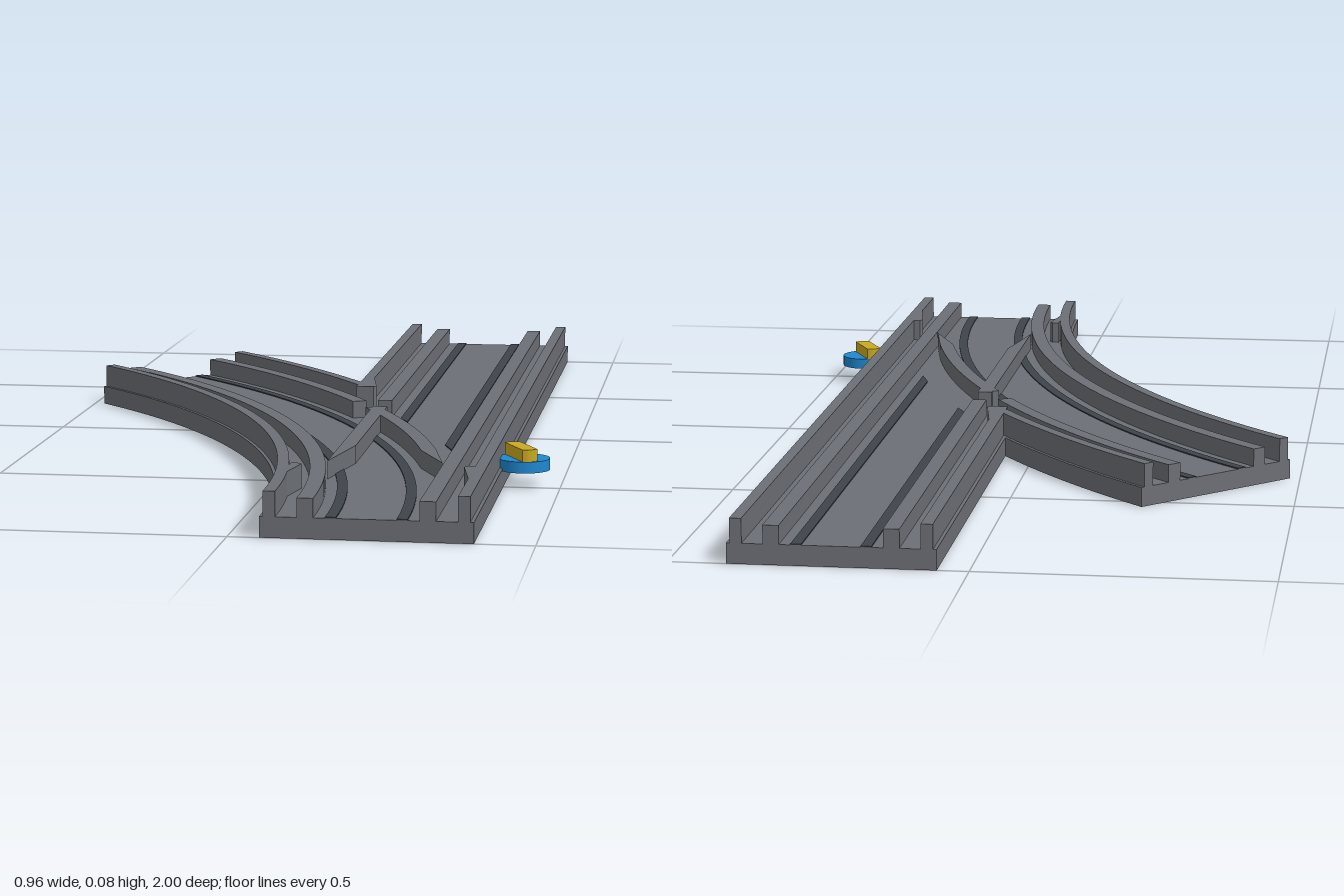
import * as THREE from 'three';

// Plan coordinates are (x, -z); the branch is an arc of radius 2 turning 45 degrees.
const CX = -1.773, CY = -1, MID = 0.227, R = 2, END = Math.PI / 4;
const FLOOR = 0.035, RAIL = 0.067, WALL = 0.077;
const deg = (d) => d * Math.PI / 180;
const onArc = (r, a) => new THREE.Vector2(CX + r * Math.cos(a), CY + r * Math.sin(a));

function arcPoints(r, a0, a1) {
  const n = Math.max(2, Math.round(Math.abs(a1 - a0) / END * 36));
  return Array.from({ length: n + 1 }, (_, i) => onArc(r, a0 + (a1 - a0) * i / n));
}

export function createModel() {
  const group = new THREE.Group();
  const grey = new THREE.MeshStandardMaterial({ color: 0x6c6f75 });
  const dark = new THREE.MeshStandardMaterial({ color: 0x3f444a });
  const blue = new THREE.MeshStandardMaterial({ color: 0x1e88d0 });
  const yellow = new THREE.MeshStandardMaterial({ color: 0xcaa820 });
  grey.name = 'track grey';
  dark.name = 'stripe dark grey';
  blue.name = 'knob blue';
  yellow.name = 'handle yellow';

  const add = (name, geometry, material) => {
    const mesh = new THREE.Mesh(geometry, material);
    mesh.name = name;
    group.add(mesh);
    return mesh;
  };

  // Raise a plan outline from y0 to y1
  const slab = (name, pts, y0, y1, material) => {
    const g = new THREE.ExtrudeGeometry(new THREE.Shape(pts), { depth: y1 - y0, bevelEnabled: false });
    g.rotateX(-Math.PI / 2);
    g.translate(0, y0, 0);
    return add(name, g, material);
  };
  const plan = (list) => list.map(([x, z]) => new THREE.Vector2(x, -z));

  // Straight strip between two x offsets from the track centre, z0 (back) to z1 (front)
  const straight = (name, o0, o1, z0, z1, top, material = grey) =>
    slab(name, plan([[MID + o0, z1], [MID + o1, z1], [MID + o1, z0], [MID + o0, z0]]), FLOOR, top, material);

  // Curved strip between two offsets from the branch centreline
  const curved = (name, o0, o1, a0, a1, top, material = grey) =>
    slab(name, [...arcPoints(R + o1, a0, a1), ...arcPoints(R + o0, a1, a0)], FLOOR, top, material);

  // Base plate: straight and branch as one outline
  const half = 0.174;
  const fork = Math.acos((MID - half - CX) / (R + half));
  slab('base', [
    ...plan([[MID + half, 1], [MID + half, -1], [MID - half, -1]]),
    ...arcPoints(R + half, fork, END),
    ...arcPoints(R - half, END, 0),
  ], 0, FLOOR, grey);

  // Outer walls
  straight('straightLeftWall', -0.168, -0.148, -1, -0.1, WALL);
  straight('straightRightWall', 0.148, 0.168, -1, 1, WALL);
  curved('branchInnerWall', -0.168, -0.148, 0, END, WALL);
  curved('branchOuterWall', 0.148, 0.168, deg(31.6), END, WALL);

  // Inner rails, with gaps where the wheel grooves cross
  straight('straightRightRail', 0.086, 0.113, -1, 1, RAIL);
  straight('straightLeftRail', -0.113, -0.086, -1, 0, RAIL);
  straight('straightLeftRail', -0.113, -0.086, 0.07, 0.5, RAIL);
  slab('straightLeftPoint', plan([[0.114, 0.5], [0.114, 0.66], [0.141, 0.5]]), FLOOR, RAIL, grey);
  curved('branchInnerRail', -0.113, -0.086, 0, END, RAIL);
  curved('branchOuterRail', 0.086, 0.113, deg(13), deg(26), RAIL);
  curved('branchOuterRail', 0.086, 0.113, deg(28), END, RAIL);
  slab('branchOuterPoint', [onArc(2.086, deg(13)), onArc(2.113, deg(9.5)), onArc(2.113, deg(13))],
    FLOOR, RAIL, grey);

  // Rounded guards that swell from the walls beside the points and the fork
  const guard = (name, x, z, side, along) => slab(name, plan([
    [x, z], [x - side * 0.014, z], [x - side * 0.019, z + along * 0.008],
    [x - side * 0.017, z + along * 0.02], [x, z + along * 0.12],
  ].sort(() => 0)), FLOOR, WALL, grey);
  guard('rightGuard', 0.376, 0.73, 1, 1);
  guard('leftGuard', 0.064, 0.74, -1, 1);
  guard('forkGuard', 0.078, -0.1, -1, -1);

  // Dark stripes along the floor; the straight ones stop at the branch wall line
  const stripeTop = FLOOR + 0.002;
  const limit = (x) => 1 - (R + 0.166) * Math.sin(Math.acos((x - CX) / (R + 0.166)));
  for (const s of [-1, 1]) {
    const x0 = MID + s * 0.058 - 0.009, x1 = x0 + 0.018;
    slab('straightStripe', plan([[x0, limit(x0)], [x1, limit(x1)], [x1, -1], [x0, -1]]),
      FLOOR, stripeTop, dark);
    curved('branchStripe', s * 0.058 - 0.009, s * 0.058 + 0.009, 0, END, stripeTop, dark);
  }

  // Turning knob with a diagonal handle
  const disc = add('switchKnob', new THREE.CylinderGeometry(0.046, 0.046, 0.02, 32), blue);
  disc.position.set(0.435, 0.04, 0.483);
  const w = 0.014, l = 0.041;
  const bar = new THREE.Shape();
  bar.moveTo(-w, -l);
  bar.quadraticCurveTo(0, -l - 0.008, w, -l);
  bar.lineTo(w, l);
  bar.quadraticCurveTo(0, l + 0.008, -w, l);
  const barGeometry = new THREE.ExtrudeGeometry(bar, { depth: 0.021, bevelEnabled: false });
  barGeometry.rotateX(-Math.PI / 2);
  const handle = add('switchHandle', barGeometry, yellow);
  handle.position.set(0.43, 0.05, 0.483);
  handle.rotation.y = deg(27);

  return group;
}
